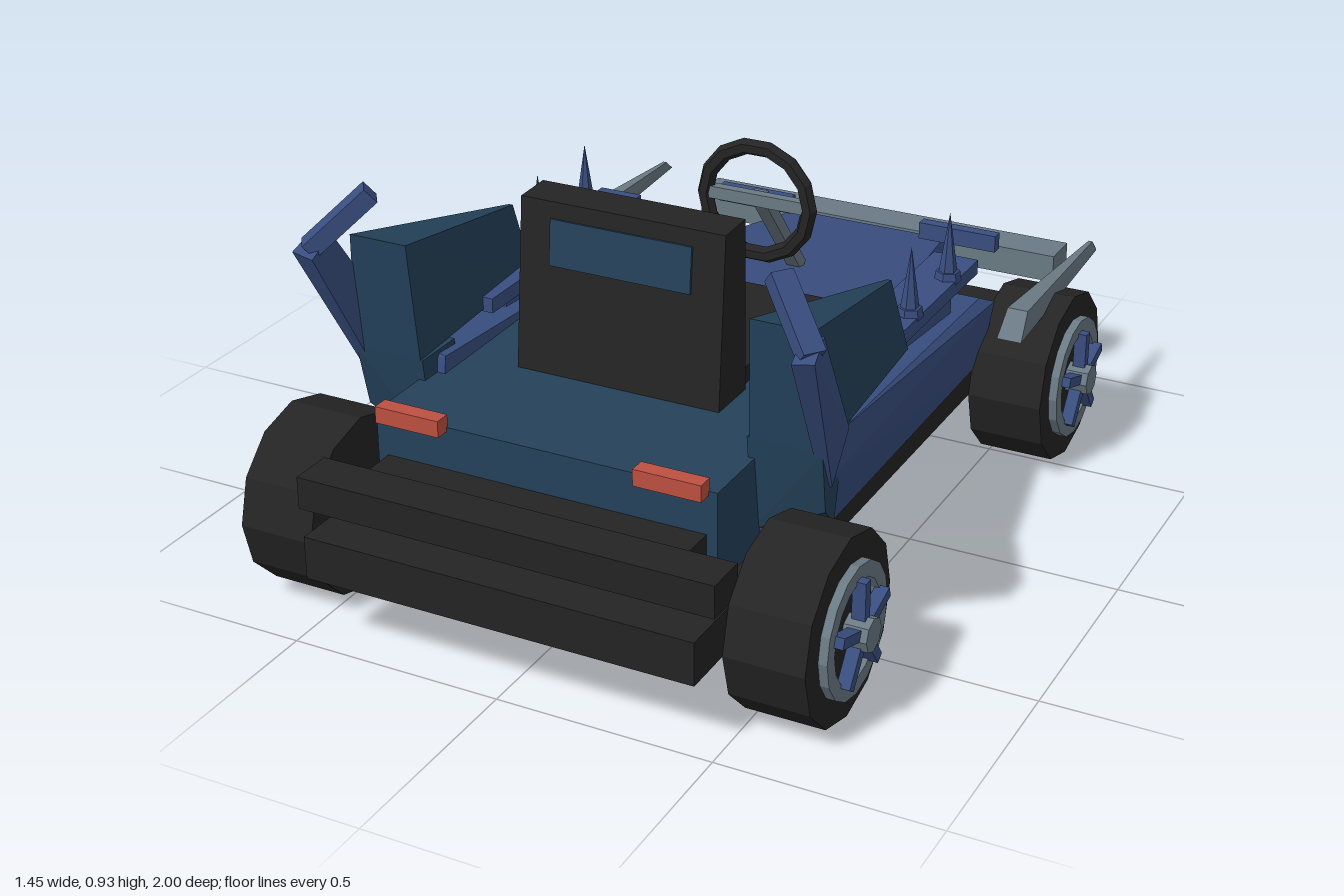
import * as THREE from 'three';
import { ConvexGeometry } from 'three/addons/geometries/ConvexGeometry.js';

const paint = (name, color) => new THREE.MeshStandardMaterial({ name, color, flatShading: true });

export function createModel() {
  const kart = new THREE.Group();
  kart.name = 'kart';
  const blue = paint('blue', 0x394e80);
  const teal = paint('teal', 0x24415a);
  const dark = paint('black', 0x242424);
  const gray = paint('gray', 0x6a7a84);
  const red = paint('red', 0xbd5041);

  const add = (name, geometry, material, parent = kart) => {
    const mesh = new THREE.Mesh(geometry, material);
    mesh.name = name;
    parent.add(mesh);
    return mesh;
  };
  // box given by its ranges in x, y and z
  const box = (name, material, x0, x1, y0, y1, z0, z1, parent) => {
    const mesh = add(name, new THREE.BoxGeometry(Math.abs(x1 - x0), y1 - y0, z1 - z0), material, parent);
    mesh.position.set((x0 + x1) / 2, (y0 + y1) / 2, (z0 + z1) / 2);
    return mesh;
  };
  // faceted solid around corner points, s = -1 mirrors it
  const hull = (name, material, points, s = 1) =>
    add(name, new ConvexGeometry(points.map(([x, y, z]) => new THREE.Vector3(x * s, y, z))), material);
  // the same y-z profile on both sides, each point is [half width, y, z]
  const wide = (name, material, points) =>
    hull(name, material, points.flatMap(([x, y, z]) => [[x, y, z], [-x, y, z]]));
  // rectangular bar between two points
  const beam = (name, material, a, b, w, h) => {
    const p = new THREE.Vector3(...a), q = new THREE.Vector3(...b);
    const mesh = add(name, new THREE.BoxGeometry(w, h, p.distanceTo(q)), material);
    mesh.position.copy(p).lerp(q, 0.5);
    mesh.lookAt(q);
    return mesh;
  };

  // chassis and bumpers
  box('chassis', dark, -0.46, 0.46, 0.165, 0.265, -0.84, 1.0);
  box('rearBumper', dark, -0.49, 0.49, 0.31, 0.385, 0.87, 0.97);
  box('frontBumper', gray, -0.5, 0.5, 0.29, 0.36, -1.0, -0.9);

  // hood and rear deck
  wide('hood', blue, [
    [0.25, 0.19, -0.935], [0.21, 0.365, -0.875], [0.375, 0.485, 0.05],
    [0.38, 0.26, 0.05], [0.33, 0.26, -0.55],
  ]);
  box('rearDeck', teal, -0.405, 0.405, 0.26, 0.48, 0.17, 0.79);
  box('bumperMount', dark, -0.38, 0.38, 0.31, 0.38, 0.78, 0.88);

  // seat
  box('seatCushion', dark, -0.235, 0.235, 0.27, 0.52, -0.085, 0.36);
  wide('seatBack', dark, [
    [0.245, 0.875, 0.345], [0.245, 0.872, 0.437], [0.247, 0.45, 0.475], [0.247, 0.45, 0.345],
  ]);
  const rearPanel = box('seatRearPanel', teal, -0.17, 0.17, 0.73, 0.835, 0.443, 0.451);
  rearPanel.rotation.x = -0.09;
  box('seatFrontPanel', teal, -0.17, 0.17, 0.73, 0.835, 0.338, 0.346);

  // steering wheel and column
  const steering = add('steeringWheel', new THREE.TorusGeometry(0.135, 0.02, 6, 14), dark);
  steering.position.set(0, 0.67, -0.212);
  beam('steeringColumn', gray, [0, 0.42, -0.44], [0, 0.68, -0.225], 0.035, 0.03);
  box('steeringCrossbar', gray, -0.125, 0.125, 0.66, 0.69, -0.225, -0.2);

  for (const s of [1, -1]) {
    // side pods
    hull('sidePod', blue, [
      [0.37, 0.52, 0.57], [0.55, 0.53, 0.51], [0.55, 0.44, 0.575], [0.50, 0.265, 0.6], [0.37, 0.265, 0.6],
      [0.38, 0.455, -0.38], [0.50, 0.455, -0.38], [0.38, 0.265, -0.44], [0.49, 0.265, -0.44], [0.52, 0.43, -0.43],
    ], s);
    box('sidePipe', gray, s * 0.46, s * 0.49, 0.258, 0.27, 0.1, 0.53);
    box('sideRail', blue, s * 0.39, s * 0.5, 0.525, 0.56, -0.36, 0.34);
    box('railSupport', blue, s * 0.41, s * 0.48, 0.44, 0.53, -0.25, 0.25);

    // spikes on the rails
    for (const z of [-0.235, -0.012, 0.21]) {
      const tall = z > 0.1 ? 0.055 : 0.16;
      add('spike', new THREE.ConeGeometry(0.024, tall, 6), blue).position.set(s * 0.475, 0.56 + tall / 2, z);
      add('spikeCollar', new THREE.CylinderGeometry(0.028, 0.032, 0.025, 6), blue).position.set(s * 0.475, 0.565, z);
    }

    // rear fins
    hull('rearFin', teal, [
      [0.47, 0.69, 0.11], [0.48, 0.69, 0.11], [0.43, 0.53, 0.1], [0.52, 0.53, 0.1],
      [0.405, 0.805, 0.65], [0.545, 0.805, 0.65], [0.395, 0.53, 0.63], [0.56, 0.53, 0.63],
    ], s);
    hull('finBase', teal, [
      [0.39, 0.53, 0.5], [0.55, 0.53, 0.5], [0.39, 0.53, 0.63], [0.56, 0.53, 0.63],
      [0.39, 0.3, 0.5], [0.53, 0.3, 0.5], [0.39, 0.3, 0.6], [0.555, 0.38, 0.6],
    ], s);

    // bent horns beside the fins
    hull('hornBase', blue, [
      [0.535, 0.53, 0.5], [0.56, 0.53, 0.5], [0.535, 0.43, 0.58], [0.56, 0.43, 0.58],
      [0.55, 0.83, 0.71], [0.595, 0.83, 0.71], [0.555, 0.79, 0.775], [0.605, 0.8, 0.775],
    ], s);
    beam('hornTip', blue, [s * 0.585, 0.8, 0.745], [s * 0.475, 0.92, 0.665], 0.05, 0.04);

    // tail lights and small nose bars
    box('tailLight', red, s * 0.23, s * 0.385, 0.47, 0.508, 0.785, 0.823);
    box('noseBar', blue, s * 0.18, s * 0.385, 0.395, 0.438, -0.81, -0.78);

    // blades above the front wheels
    hull('frontFender', gray, [
      [0.57, 0.39, -0.32], [0.63, 0.39, -0.32], [0.575, 0.45, -0.37], [0.625, 0.45, -0.37],
      [0.595, 0.43, -0.88], [0.605, 0.43, -0.88], [0.6, 0.4, -0.92], [0.61, 0.4, -0.9],
    ], s);

    // wheels, built along z and turned outward
    for (const z of [0.73, -0.57]) {
      const wheel = new THREE.Group();
      wheel.name = z > 0 ? 'rearWheel' : 'frontWheel';
      wheel.position.set(s * 0.58, 0.208, z);
      wheel.rotation.y = s * Math.PI / 2;
      kart.add(wheel);
      const disc = (name, material, r, z0, z1, sides) => {
        const mesh = add(name, new THREE.CylinderGeometry(r, r, z1 - z0, sides), material, wheel);
        mesh.rotation.x = Math.PI / 2;
        mesh.position.z = (z0 + z1) / 2;
      };
      disc('tire', dark, 0.208, -0.09, 0.09, 12);
      disc('hub', gray, 0.038, 0.08, 0.145, 8);
      disc('axle', gray, 0.024, -0.3, 0, 8);
      const ring = new THREE.Shape().absarc(0, 0, 0.148, 0, Math.PI * 2);
      ring.holes.push(new THREE.Path().absarc(0, 0, 0.113, 0, Math.PI * 2, true));
      const rim = add('rim', new THREE.ExtrudeGeometry(ring, { depth: 0.025, bevelEnabled: false, curveSegments: 8 }), gray, wheel);
      rim.position.z = 0.085;
      for (let i = 0; i < 5; i++) {
        const a = Math.PI / 2 + i * Math.PI * 2 / 5;
        const spoke = add('spoke', new THREE.BoxGeometry(0.095, 0.024, 0.03), blue, wheel);
        spoke.position.set(Math.cos(a) * 0.072, Math.sin(a) * 0.072, 0.115);
        spoke.rotation.z = a;
      }
    }
  }
  return kart;
}
